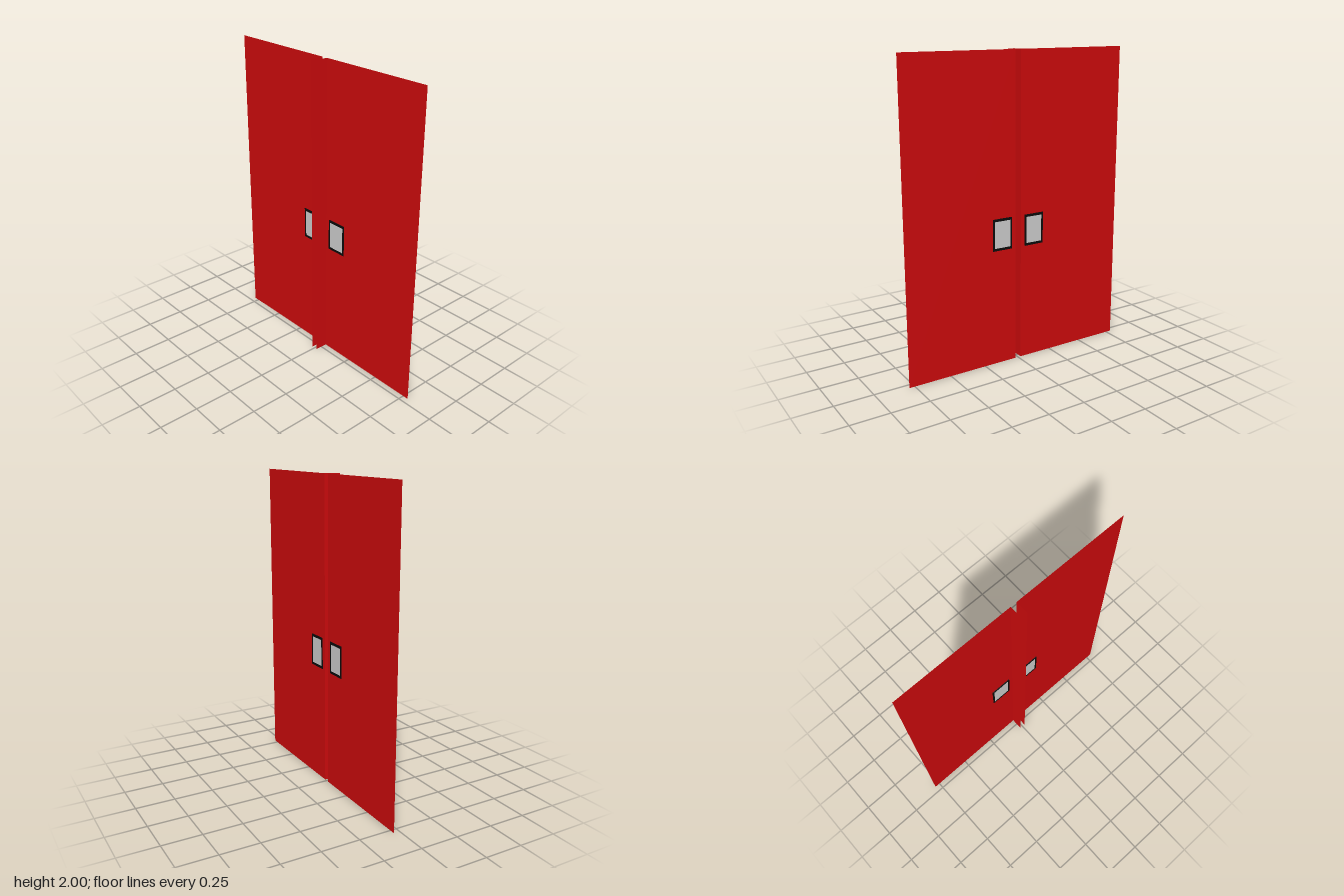
import * as THREE from 'three';

const H = 2, SHEET_X = 0.04, BACK_X = -0.044, INNER = 0.02, OUTER = 0.787;

const material = (color) => new THREE.MeshStandardMaterial({ color, side: THREE.DoubleSide });

function add(parent, name, geometry, mat) {
  const mesh = new THREE.Mesh(geometry, mat);
  mesh.name = name;
  parent.add(mesh);
  return mesh;
}

// Rectangle in the shape plane, centred on the origin
function rect(Target, w, h) {
  return new Target([[-w, -h], [w, -h], [w, h], [-w, h]].map(([x, y]) => new THREE.Vector2(x / 2, y / 2)));
}

export function createModel() {
  const model = new THREE.Group();
  model.name = 'doubleDoor';
  const red = material(0xcc0a0c), black = material(0x0a0a0a), grey = material(0xcccccc);

  // One leaf on each side of the open gap
  for (const side of [1, -1]) {
    const leaf = new THREE.Group();
    leaf.name = side > 0 ? 'frontLeaf' : 'backLeaf';
    model.add(leaf);

    // Thin door sheet facing +x
    const sheet = add(leaf, 'doorSheet', new THREE.PlaneGeometry(OUTER - INNER, H), red);
    sheet.rotation.y = Math.PI / 2;
    sheet.position.set(SHEET_X, H / 2, side * (OUTER + INNER) / 2);

    // Return flange along the meeting edge
    const flange = add(leaf, 'edgeFlange', new THREE.PlaneGeometry(SHEET_X - BACK_X, H), red);
    flange.position.set((SHEET_X + BACK_X) / 2, H / 2, side * INNER);
    if (side > 0) flange.rotation.y = Math.PI;

    // Push plate with a dark border, standing just proud of both faces
    const plate = new THREE.Group();
    plate.name = 'pushPlate';
    plate.rotation.y = Math.PI / 2;
    plate.position.set(SHEET_X, 0.868, side * 0.118);
    leaf.add(plate);

    const outline = rect(THREE.Shape, 0.138, 0.206);
    outline.holes.push(rect(THREE.Path, 0.114, 0.174));
    const border = new THREE.ExtrudeGeometry(outline, { depth: 0.008, bevelEnabled: false });
    border.translate(0, 0, -0.004);
    add(plate, 'plateBorder', border, black);
    add(plate, 'platePanel', new THREE.BoxGeometry(0.114, 0.174, 0.006), grey);
  }
  return model;
}
